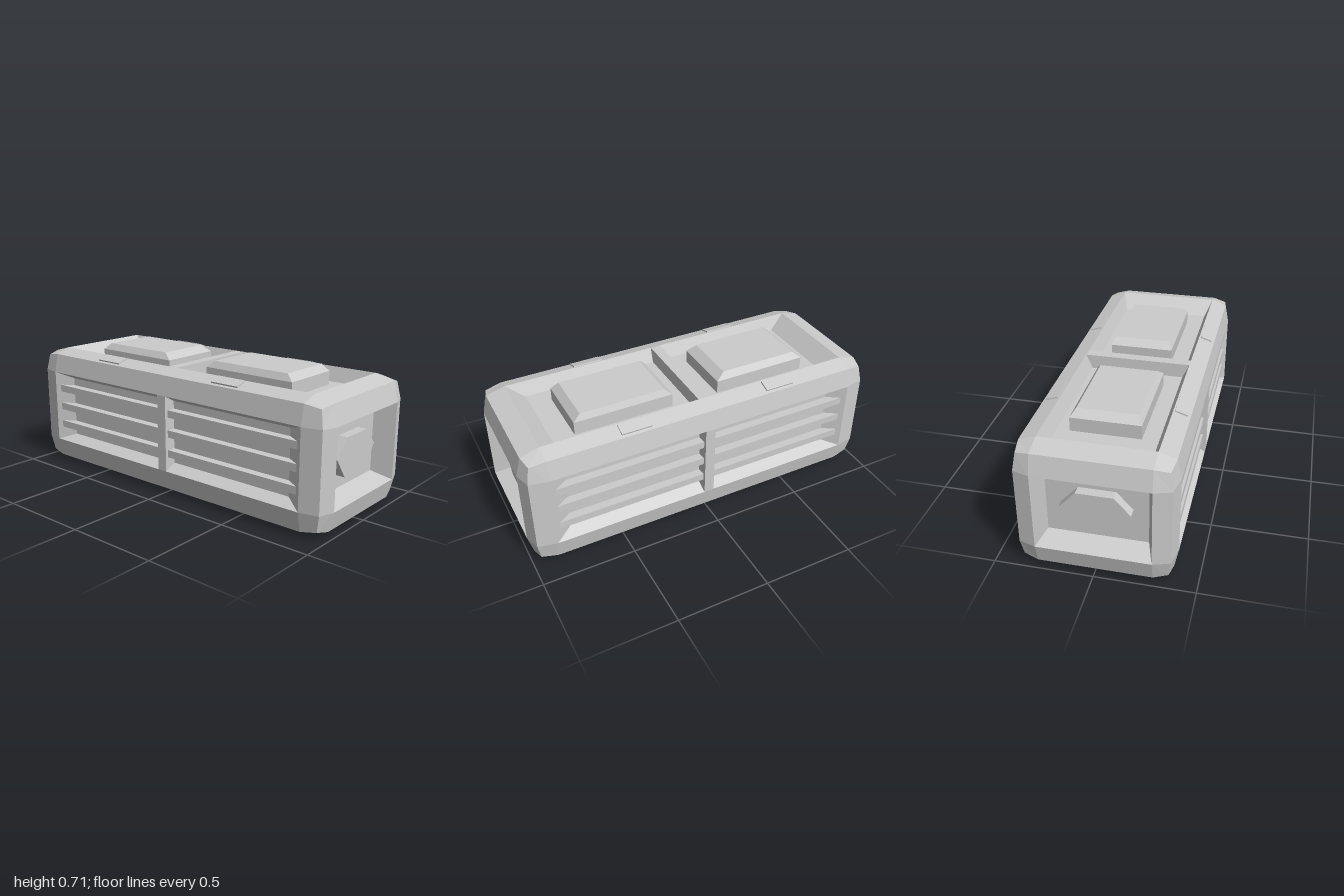
import * as THREE from 'three';

const mat = new THREE.MeshStandardMaterial({ color: 0xcccccc, flatShading: true });
const MID = 0.34;                    // height of the crate's centre
const DEPTH = [0.062, 0.075, 0.11];  // depth of the recessed panels facing x, y, z
const BAR = 0.028;                   // half width of the central divider

// Half sizes (x, y, z) of the bulged frame
const FACE = [0.392, 0.34, 1];         // flat middle of each face
const OPENING = [0.285, 0.207, 0.87];  // panel openings
const EDGE = [0.371, 0.312, 0.973];    // long edges
const CORNER = [0.358, 0.297, 0.956];  // pulled-in corners

function named(geometry, name) {
  const m = new THREE.Mesh(geometry, mat);
  m.name = name;
  return m;
}

// Collects quads (counter-clockwise from the front) into flat triangles
function quadBuilder() {
  const pos = [];
  return {
    quad(a, b, c, d, flip = false) {
      const order = flip ? [a, c, b, a, d, c] : [a, b, c, a, c, d];
      order.forEach(p => pos.push(...p));
    },
    build() {
      const g = new THREE.BufferGeometry();
      g.setAttribute('position', new THREE.Float32BufferAttribute(pos, 3));
      g.computeVertexNormals();
      return g;
    },
  };
}

// Frame lattice point: each index is -2, -1, 1 or 2 (2 = outer surface)
function latticePoint(idx) {
  const outer = idx.filter(i => Math.abs(i) === 2).length;
  const table = [null, FACE, EDGE, CORNER][outer];
  return idx.map((i, axis) =>
    Math.sign(i) * (Math.abs(i) === 2 ? table[axis] : OPENING[axis]));
}

function frameAndPanels() {
  const frame = quadBuilder(), panels = quadBuilder();
  const steps = [-2, -1, 1, 2];
  for (let k = 0; k < 3; k++) for (const s of [-1, 1]) {
    const u = (k + 1) % 3, v = (k + 2) % 3, flip = s < 0;
    const at = (a, b, n) => {
      const p = [0, 0, 0];
      p[k] = n; p[u] = a; p[v] = b;
      return p;
    };
    // Border ring around the opening
    for (let i = 0; i < 3; i++) for (let j = 0; j < 3; j++) {
      if (i === 1 && j === 1) continue;
      const p = (a, b) => latticePoint(at(steps[a], steps[b], 2 * s));
      frame.quad(p(i, j), p(i + 1, j), p(i + 1, j + 1), p(i, j + 1), flip);
    }
    // Rectangles as [u0, u1, v0, v1], corners running counter-clockwise
    const corners = (r, n) => [[0, 2], [1, 2], [1, 3], [0, 3]].map(([a, b]) => at(r[a], r[b], n));
    const full = [-OPENING[u], OPENING[u], -OPENING[v], OPENING[v]];
    const windows = [];
    if (k === 2) {
      windows.push([full, full.map(x => x - Math.sign(x) * 0.035)]);
    } else {
      // Split along z by the divider; the end wall slopes more than the others
      const zi = u === 2 ? 0 : 2;
      const mid = k === 1 && s > 0 ? -0.01 : 0;
      const bar = full.slice();
      bar[zi] = mid - BAR; bar[zi + 1] = mid + BAR;
      frame.quad(...corners(bar, s * FACE[k]), flip);
      for (const half of [-1, 1]) {
        const [inner, end] = half < 0 ? [zi + 1, zi] : [zi, zi + 1];
        const rim = full.slice();
        rim[inner] = mid + half * BAR;
        const floor = rim.map(x => x - Math.sign(x) * 0.035);
        floor[end] = half * (OPENING[2] - 0.095);
        floor[inner] = mid + half * (BAR + 0.004);
        windows.push([rim, floor]);
      }
    }
    // Sloped walls and sunken floors
    for (const [rim, floor] of windows) {
      const o = corners(rim, s * FACE[k]), f = corners(floor, s * (FACE[k] - DEPTH[k]));
      for (let i = 0; i < 4; i++) {
        const j = (i + 1) % 4;
        panels.quad(o[i], o[j], f[j], f[i], flip);
      }
      panels.quad(...f, flip);
    }
  }
  const meshes = [named(frame.build(), 'frame'), named(panels.build(), 'recessedPanels')];
  meshes.forEach(m => { m.position.y = MID; });
  return meshes;
}

// Raised block with a bevelled rim; rectangles as [x0, x1, z0, z1]
function lidBlock(base, top) {
  const b = quadBuilder();
  const ring = (y, [x0, x1, z0, z1]) => [[x0, y, z1], [x1, y, z1], [x1, y, z0], [x0, y, z0]];
  const rings = [ring(0.6, base), ring(0.678, base), ring(0.713, top)];
  for (let r = 0; r < 2; r++) for (let i = 0; i < 4; i++) {
    const j = (i + 1) % 4;
    b.quad(rings[r][i], rings[r][j], rings[r + 1][j], rings[r + 1][i]);
  }
  b.quad(...rings[2]);
  return named(b.build(), 'lidBlock');
}

export function createModel() {
  const model = new THREE.Group();
  model.name = 'crate';
  model.add(...frameAndPanels());

  // Blocks on the lid
  model.add(lidBlock([-0.168, 0.185, -0.68, -0.15], [-0.145, 0.16, -0.64, -0.2]));
  model.add(lidBlock([-0.16, 0.18, 0.115, 0.66], [-0.14, 0.165, 0.155, 0.62]));

  // Hexagonal plates on both ends
  const hex = new THREE.Shape([
    [-0.175, 0.005], [-0.1, -0.1], [0.107, -0.1], [0.175, 0.01], [0.095, 0.1], [-0.09, 0.1],
  ].map(p => new THREE.Vector2(...p)));
  const hexGeo = new THREE.ExtrudeGeometry(hex, { depth: 0.055, bevelEnabled: false });
  for (const turn of [0, Math.PI]) {
    const plate = named(hexGeo, turn ? 'backPlate' : 'frontPlate');
    plate.rotation.y = turn;
    plate.position.set(0, MID, Math.cos(turn) * 0.885);
    model.add(plate);
  }

  // Three slats per side, running through the divider into the sloped end walls
  const slatGeo = new THREE.BoxGeometry(0.07, 0.04, 1.78);
  const slats = new THREE.Group();
  slats.name = 'sideSlats';
  for (const sx of [-1, 1]) for (const row of [-1, 0, 1]) {
    const slat = named(slatGeo, 'slat');
    slat.position.set(sx * 0.341, MID + row * 0.11, 0);
    slats.add(slat);
  }
  model.add(slats);

  // Latches on the sloping top borders
  const latchGeo = new THREE.BoxGeometry(0.065, 0.03, 0.165);
  for (const sx of [-1, 1]) for (const z of [-0.435, 0.395]) {
    const latch = named(latchGeo, sx > 0 ? 'leftLatch' : 'rightLatch');
    latch.position.set(sx * 0.322, 0.66, z);
    latch.rotation.z = -sx * 0.31;
    model.add(latch);
  }
  return model;
}
